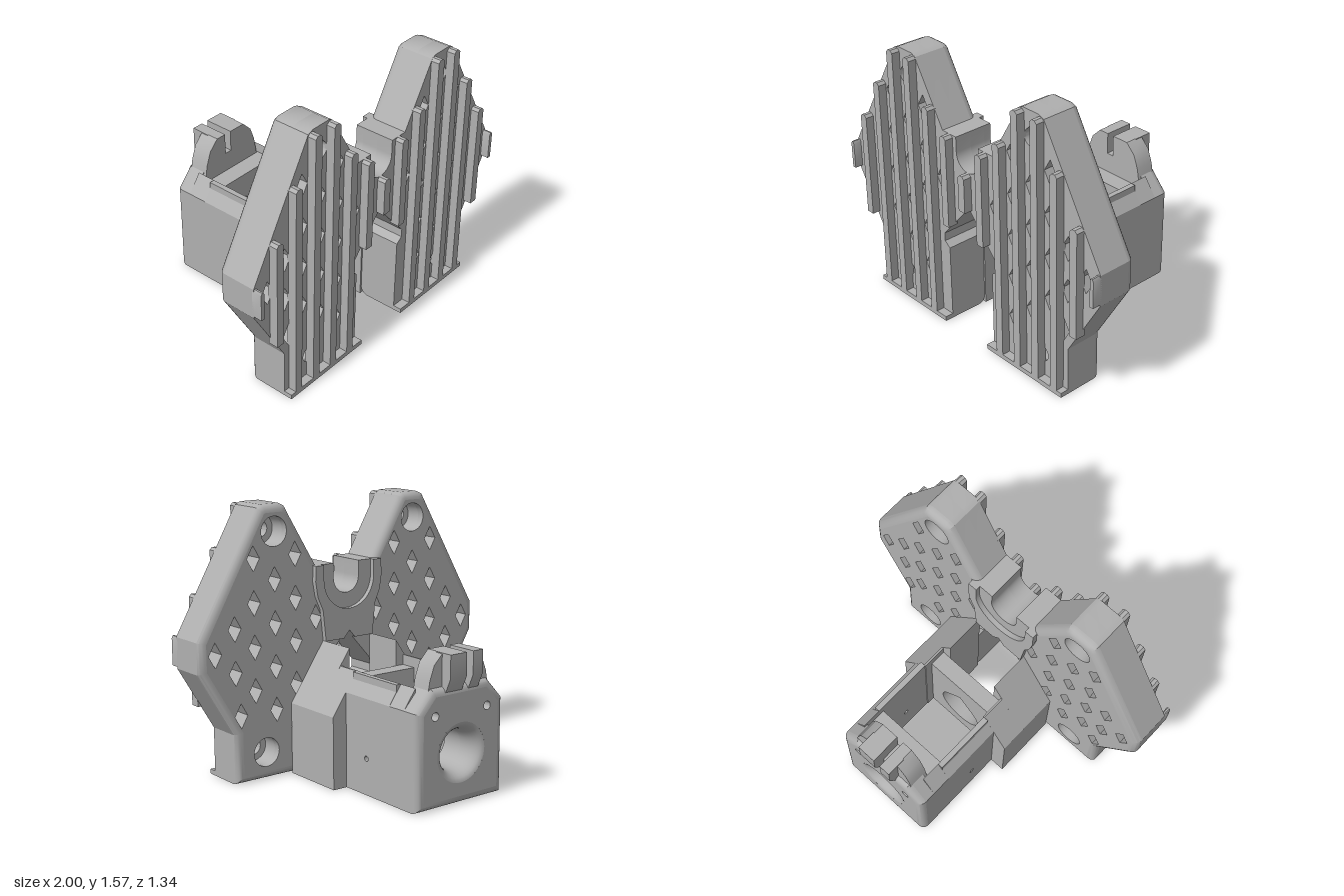
import * as THREE from 'three';
import { toCreasedNormals } from 'three/addons/utils/BufferGeometryUtils.js';

const grey = new THREE.MeshStandardMaterial({ color: 0xb0b0b0 });
grey.name = 'grey plastic';
const greyOpen = new THREE.MeshStandardMaterial({ color: 0xb0b0b0, side: THREE.DoubleSide });
greyOpen.name = 'grey plastic inner';

export function createModel() {
  const model = new THREE.Group();
  const add = (name, geo, mat = grey) => {
    const m = new THREE.Mesh(geo, mat);
    m.name = name;
    model.add(m);
  };

  const V = (pts) => pts.map(([x, y]) => new THREE.Vector2(x, y));
  const arc = (cx, cy, r, a0, a1, n) => Array.from({ length: n + 1 }, (_, i) => {
    const a = a0 + (a1 - a0) * i / n;
    return [cx + r * Math.cos(a), cy + r * Math.sin(a)];
  });
  const circle = (x, y, r) => arc(x, y, r, 0, Math.PI * 2, 28).slice(0, -1);
  const teardrop = (x, y, r) => [[x, y + r * Math.SQRT2], ...arc(x, y, r, Math.PI * 0.75, Math.PI * 2.25, 24)];
  const symmetric = (half) => [...half, ...half.slice(1, -1).reverse().map(([x, y]) => [-x, y])];

  // Straight extrusion along z
  function extrude(pts, holes, z0, z1) {
    const shape = new THREE.Shape(V(pts));
    holes.forEach((h) => shape.holes.push(new THREE.Path(V(h))));
    const g = new THREE.ExtrudeGeometry(shape, { depth: z1 - z0, bevelEnabled: false });
    g.translate(0, 0, z0);
    return toCreasedNormals(g, 0.5);
  }
  // Straight extrusion along x of a (z, y) profile
  function extrudeX(pts, holes, x0, x1) {
    const g = extrude(pts, holes, 0, x1 - x0);
    g.rotateY(-Math.PI / 2);
    g.translate(x1, 0, 0);
    return g;
  }
  // Offsets each flagged edge of a counterclockwise outline inwards by d
  function inset(pts, d, flagged) {
    const n = pts.length;
    const line = (i) => {
      const a = pts[(i + n) % n], b = pts[(i + 1) % n];
      const l = Math.hypot(b[0] - a[0], b[1] - a[1]);
      return { n: [-(b[1] - a[1]) / l, (b[0] - a[0]) / l], d: flagged(a, b) ? d : 0 };
    };
    return pts.map((p, i) => {
      const e = line(i - 1), f = line(i);
      const det = e.n[0] * f.n[1] - e.n[1] * f.n[0];
      if (Math.abs(det) < 1e-3) return [p[0] + f.n[0] * f.d, p[1] + f.n[1] * f.d];
      return [p[0] + (e.d * f.n[1] - f.d * e.n[1]) / det, p[1] + (f.d * e.n[0] - e.d * f.n[0]) / det];
    });
  }
  // Slab whose back rim is rounded with radius r
  function roundedSlab(name, pts, holes, z0, z1, r, flagged) {
    add(name, extrude(pts, holes, z0 + r, z1));
    add(name + 'Back', extrude(inset(pts, r, flagged), holes, z0, z0 + r));
    const steps = 5, pos = [];
    const rings = Array.from({ length: steps + 1 }, (_, k) => {
      const a = k / steps * Math.PI / 2;
      return inset(pts, r * (1 - Math.cos(a)), flagged).map(([x, y]) => [x, y, z0 + r * (1 - Math.sin(a))]);
    });
    for (let k = 0; k < steps; k++) {
      const b = rings[k], a = rings[k + 1];
      for (let i = 0; i < pts.length; i++) {
        const j = (i + 1) % pts.length;
        pos.push(...a[i], ...a[j], ...b[j], ...a[i], ...b[j], ...b[i]);
      }
    }
    const g = new THREE.BufferGeometry();
    g.setAttribute('position', new THREE.Float32BufferAttribute(pos, 3));
    g.computeVertexNormals();
    add(name + 'RoundedRim', toCreasedNormals(g, 0.5));
  }

  // Winged front plate with a slot below and a round notch above
  const plate = symmetric([
    [0, 0.8], [0.22, 0.55], [0.22, 0.5], [0.18, 0.47], [0.18, 0], [0.775, 0], [0.775, 0.29],
    [1, 0.67], [1, 0.85], [0.615, 1.52], [0.595, 1.555], [0.56, 1.57], [0.44, 1.57], [0.41, 1.555],
    [0.39, 1.52], [0.2, 1.2], [0.09, 1.2], ...arc(0, 1.11, 0.09, 0, -Math.PI / 2, 10),
  ]);

  // Diamond lattice, listed as column x and row heights
  const columns = [
    [0.22, [0.9]], [0.36, [0.28, 0.53, 0.78, 1.03, 1.28]], [0.5, [0.4, 0.65, 0.9, 1.15]],
    [0.64, [0.53, 0.78, 1.03, 1.28]], [0.77, [0.65, 0.9]], [0.74, [0.4]], [0.9, [0.77]],
  ];
  const diamonds = [];
  const bolts = [];
  for (const s of [1, -1]) {
    for (const [x, rows] of columns) for (const y of rows) {
      diamonds.push([[s * x - 0.042, y], [s * x, y - 0.073], [s * x + 0.042, y], [s * x, y + 0.073]]);
    }
    bolts.push([s * 0.5, 1.42], [s * 0.575, 0.16]);
  }
  const outerEdge = (a, b) => Math.max(Math.abs(a[0]), Math.abs(b[0])) > 0.3;
  roundedSlab('plate', plate, [...diamonds, ...bolts.map(([x, y]) => circle(x, y, 0.085))], 0.38, 0.52, 0.045, outerEdge);
  add('plateFront', extrude(plate, [...diamonds, ...bolts.map(([x, y]) => teardrop(x, y, 0.048))], 0.52, 0.62));

  // Vertical ribs on the front face: x, bottom, top, width
  const ribs = [
    [0.143, 0.65, 1.2, 0.05], [0.286, 0.02, 1.32, 0.05], [0.429, 0.02, 1.56, 0.05], [0.571, 0.02, 1.56, 0.05],
    [0.714, 0.02, 1.32, 0.05], [0.857, 0.43, 1.07, 0.05], [0.988, 0.68, 0.85, 0.024],
  ];
  const rib = (x, y0, y1, w) => {
    const h = w / 2;
    add('rib', extrude([[x - h, y0], [x + h, y0], [x + h, y1 - 0.015], [x + h * 0.4, y1], [x - h * 0.4, y1], [x - h, y1 - 0.015]], [], 0.61, 0.67));
  };
  rib(0, 0.8, 1.02, 0.05);
  for (const s of [1, -1]) {
    for (const [x, y0, y1, w] of ribs) rib(s * x, y0, y1, w);
    // Thin lip along the bottom edge
    const lip = new THREE.BoxGeometry(0.595, 0.028, 0.06);
    lip.translate(s * 0.4775, 0.014, 0.64);
    add('bottomLip', lip);
  }

  // Collar behind the notch
  add('notchCollar', extrude(symmetric([
    [0, 0.8], [0.04, 0.755], [0.17, 0.755], [0.19, 0.94], [0.225, 1.02], [0.24, 1.11], [0.235, 1.2], [0.18, 1.2],
    ...arc(0, 1.11, 0.18, 0, -Math.PI / 2, 14),
  ]), [], 0.35, 0.381));

  for (const s of [1, -1]) {
    const side = (pts) => pts.map(([x, y]) => [s * x, y]);
    // Arms with sloping shoulders joining plate and box
    add('arm', extrude(side([[0.17, 0], [0.4, 0], [0.4, 0.42], [0.17, 0.755]]), [], 0.13, 0.38));
    add('armRear', extrude(side([[0.225, 0], [0.4, 0], [0.4, 0.42], [0.235, 0.66], [0.225, 0.66]]), [], -0.02, 0.13));
    // Box side with a small cross hole, and its stepped shoulder
    const x0 = s > 0 ? 0.23 : -0.31;
    add('boxSide', extrudeX([[-0.52, 0], [-0.02, 0], [-0.02, 0.55], [-0.52, 0.55]], [circle(-0.2, 0.21, 0.016)], x0, x0 + 0.08));
    add('boxShoulder', extrude(side([[0.23, 0.55], [0.31, 0.55], [0.262, 0.62], [0.262, 0.66], [0.23, 0.66]]), [], -0.4, -0.02));
    add('boxShoulderRear', extrude(side([[0.23, 0.55], [0.31, 0.55], [0.23, 0.66]]), [], -0.52, -0.4));
  }

  // Inner front wall of the box
  add('boxFrontWall', extrude([[-0.23, 0], [0.23, 0], [0.23, 0.6], [-0.23, 0.6]], [teardrop(0, 0.24, 0.14)], 0.03, 0.13));

  // Back wall with flared opening and screw holes
  const holeY = 0.29;
  add('boxBackInner', extrude([[-0.23, 0], [0.23, 0], [0.23, 0.6], [-0.23, 0.6]], [teardrop(0, holeY, 0.11)], -0.5, -0.37));
  roundedSlab('boxBackWall', symmetric([[0, 0], [0.31, 0], [0.31, 0.55], [0.2, 0.67], [0, 0.67]]),
    [circle(0, holeY, 0.17), circle(0.185, 0.52, 0.024), circle(-0.185, 0.52, 0.024)], -0.63, -0.5, 0.045, () => true);
  const flare = new THREE.LatheGeometry(V(arc(0.17, -0.5, 1, -Math.PI, -Math.PI / 2, 8)
    .map(([x, y]) => [0.17 + (x - 0.17) * 0.06, -0.5 + (y + 0.5) * 0.13])), 32);
  flare.rotateX(Math.PI / 2);
  flare.translate(0, holeY, 0);
  add('flaredOpening', flare, greyOpen);

  // Hump on the back wall, slit for a cable
  add('cableHump', extrude([
    [-0.22, 0.6], [0.22, 0.6], [0.2, 0.71], [0.17, 0.79], [0.11, 0.85], [0, 0.85], [0, 0.72],
    [-0.045, 0.72], [-0.045, 0.85], [-0.11, 0.85], [-0.17, 0.79], [-0.2, 0.71],
  ], [], -0.6, -0.48));
  const boss = [[-0.55, 0.62], [-0.55, 0.85], [-0.667, 0.85], [-0.667, 0.72], [-0.63, 0.64]];
  add('humpBoss', extrudeX(boss, [], -0.115, -0.045));
  add('humpBoss', extrudeX(boss, [], 0, 0.115));

  return model;
}
